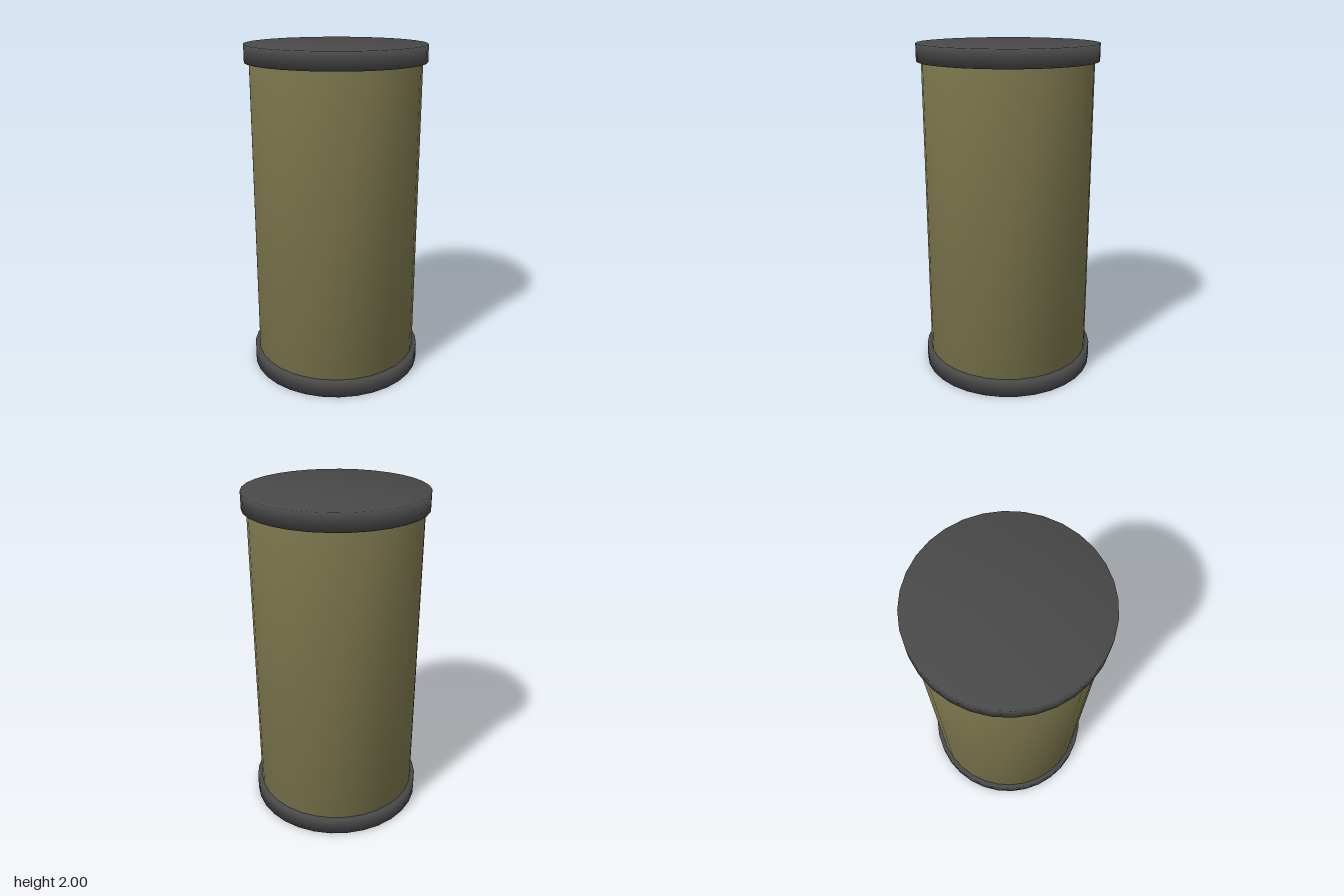
import * as THREE from 'three';
import { mergeVertices } from 'three/addons/utils/BufferGeometryUtils.js';

const SIDES = 32;

// Closed drum with its normals smoothed across the rims
function drum(name, radius, height, y, material) {
  const raw = new THREE.CylinderGeometry(radius, radius, height, SIDES);
  raw.deleteAttribute('normal');
  raw.deleteAttribute('uv');
  const geometry = mergeVertices(raw, 1e-4);
  geometry.computeVertexNormals();
  const mesh = new THREE.Mesh(geometry, material);
  mesh.name = name;
  mesh.position.y = y;
  return mesh;
}

export function createModel() {
  const group = new THREE.Group();
  group.name = 'canister';

  const olive = new THREE.MeshStandardMaterial({ color: 0x77724a });
  const darkGrey = new THREE.MeshStandardMaterial({ color: 0x484848 });

  // Tall body between two slightly wider end caps
  group.add(
    drum('body', 0.5, 1.8, 1, olive),
    drum('bottomCap', 0.528, 0.1, 0.05, darkGrey),
    drum('topCap', 0.528, 0.1, 1.95, darkGrey)
  );
  return group;
}
